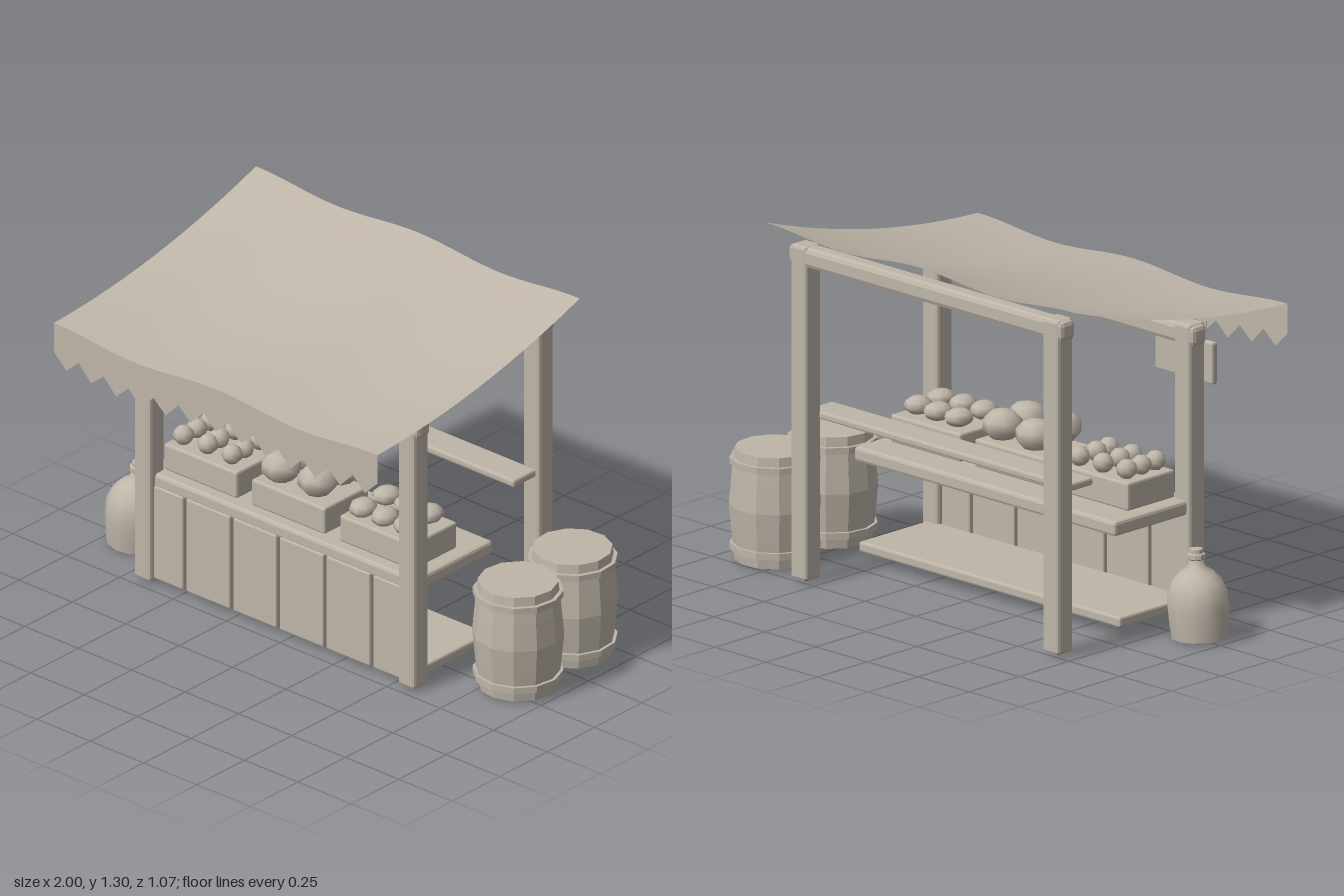
import * as THREE from 'three';
import { RoundedBoxGeometry } from 'three/addons/geometries/RoundedBoxGeometry.js';

export function createModel() {
  const root = new THREE.Group();
  root.name = 'marketStall';
  const clay = new THREE.MeshStandardMaterial({ color: 0xbfb6a9, side: THREE.DoubleSide });
  clay.name = 'warmGrey';
  const dark = new THREE.MeshStandardMaterial({ color: 0x1c1b1a });
  dark.name = 'nearBlack';
  // box sides in order +x -x +y -y +z -z: only the underside is dark
  const darkUnder = [clay, clay, clay, dark, clay, clay];

  const add = (name, geo, x = 0, y = 0, z = 0, parent = root, material = clay) => {
    const m = new THREE.Mesh(geo, material);
    m.name = name;
    m.position.set(x, y, z);
    parent.add(m);
    return m;
  };
  const flat = (geo) => {
    const g = geo.index ? geo.toNonIndexed() : geo;
    g.computeVertexNormals();
    return g;
  };
  // chamfered box given by its min and max on each axis
  const box = (name, x0, x1, y0, y1, z0, z1, bevel = 0.008, material = clay, parent = root) =>
    add(name, flat(new RoundedBoxGeometry(x1 - x0, y1 - y0, z1 - z0, 1, bevel)),
      (x0 + x1) / 2, (y0 + y1) / 2, (z0 + z1) / 2, parent, material);

  // frame: four posts and two cross beams
  for (const [label, z, top, beamLow] of [['front', 0.187, 1.08, 1.0], ['back', -0.472, 1.243, 1.165]]) {
    for (const x of [-0.667, 0.568])
      box(label + 'Post', x - 0.039, x + 0.039, 0.015, top, z - 0.039, z + 0.039, 0.012, darkUnder);
    box(label + 'Beam', -0.72, 0.62, beamLow, beamLow + 0.075, z - 0.037, z + 0.037, 0.018);
  }

  // counter, shelves and front planks
  box('counterTop', -0.69, 0.59, 0.38, 0.435, -0.21, 0.2, 0.012);
  box('lowerShelf', -0.69, 0.59, 0.042, 0.08, -0.185, 0.17, 0.008, darkUnder);
  box('backShelf', -0.69, 0.59, 0.597, 0.626, -0.44, -0.318);
  for (let i = 0; i < 6; i++) {
    const x = -0.05 + (i - 2.5) * 0.2186;
    box('frontPlank', x - 0.102, x + 0.102, 0.025, 0.39, 0.17, 0.205, 0.006, darkUnder);
  }

  // cloth canopy: slope with a sag, and a ripple across the width
  const X0 = -0.807, X1 = 0.708, ZF = 0.533;
  const ripple = (x) => 0.013 * Math.cos(((x - X0) / (X1 - X0)) * Math.PI * 4);
  const roofY = (x, z) => 1.146 - 0.192 * z + 0.146 * z * z + ripple(x);
  const cloth = new THREE.PlaneGeometry(X1 - X0, 2 * ZF, 32, 12);
  cloth.rotateX(-Math.PI / 2);
  cloth.translate((X0 + X1) / 2, 0, 0);
  const cp = cloth.attributes.position;
  for (let i = 0; i < cp.count; i++) cp.setY(i, roofY(cp.getX(i), cp.getZ(i)));
  cloth.computeVertexNormals();
  add('canopy', cloth);

  // zigzag valance hanging from the front edge
  const teeth = 13, edge = new THREE.Shape();
  for (let i = 0; i <= 32; i++) {
    const x = X0 + ((X1 - X0) * i) / 32;
    if (i) edge.lineTo(x, roofY(x, ZF)); else edge.moveTo(x, roofY(x, ZF));
  }
  for (let i = teeth * 2; i >= 0; i--) {
    const x = X0 + ((X1 - X0) * i) / (teeth * 2);
    edge.lineTo(x, (i % 2 ? 0.918 : 0.973) + ripple(x));
  }
  add('valance', new THREE.ShapeGeometry(edge), 0, 0, ZF);

  // hanging sign with a plain raised plate
  const sign = new THREE.Group();
  sign.name = 'hangingSign';
  root.add(sign);
  box('signBoard', -0.705, -0.421, 0.836, 0.99, 0.264, 0.289, 0.007, clay, sign);
  add('signPlate', new THREE.BoxGeometry(0.14, 0.06, 0.009), -0.565, 0.915, 0.2935, sign);
  for (const x of [-0.66, -0.47])
    add('signCord', new THREE.CylinderGeometry(0.004, 0.004, 0.08, 6), x, 1.02, 0.277, sign);

  // crates with produce: columns, rows, then produce radii
  const crates = [
    ['smallFruit', -0.46, [-0.58, -0.47, -0.355], [0.105, 0.035, -0.04], 0.038, 0.036, 0.038, 0.57],
    ['cabbage', -0.05, [-0.132, 0.034], [0.09, -0.032], 0.075, 0.058, 0.075, 0.598],
    ['rootVegetable', 0.362, [0.258, 0.36, 0.462], [0.098, -0.018], 0.049, 0.033, 0.056, 0.572],
  ];
  crates.forEach(([name, cx, xs, zs, rx, ry, rz, y], c) => {
    box('crate', cx - 0.171, cx + 0.171, 0.434, 0.537, -0.084, 0.152);
    xs.forEach((x, i) => zs.forEach((z, j) => {
      const wob = Math.sin(i * 5.1 + j * 3.3 + c);
      const f = add(name, new THREE.SphereGeometry(1, 8, c === 1 ? 5 : 6), x, y, z + 0.005 * wob);
      f.scale.set(rx, ry, rz);
      f.rotation.y = 0.25 * wob;
    }));
  });

  const lathe = (pts, sides) => new THREE.LatheGeometry(pts.map(([r, y]) => new THREE.Vector2(r, y)), sides);
  // dark disc facing down, with its corners lined up with a lathe of as many sides
  const base = (name, r, y, parent) =>
    add(name, new THREE.CircleGeometry(r, 12).rotateX(Math.PI / 2), 0, y, 0, parent, dark);

  // faceted barrels with flat lids and two hoops each
  for (const [x, z, turn] of [[0.838, -0.062, 0.1], [0.814, -0.375, 0.35]]) {
    const barrel = new THREE.Group();
    barrel.name = 'barrel';
    barrel.position.set(x, 0, z);
    barrel.rotation.y = turn;
    root.add(barrel);
    add('barrelBody', flat(lathe([[0.142, 0.014], [0.153, 0.12], [0.162, 0.218],
      [0.153, 0.32], [0.142, 0.422], [0, 0.422]], 12)), 0, 0, 0, barrel);
    base('barrelBase', 0.142, 0.014, barrel);
    for (const y of [0.064, 0.376])
      add('barrelHoop', flat(lathe([[0.138, -0.012], [0.16, -0.012], [0.16, 0.012], [0.138, 0.012]], 12)), 0, y, 0, barrel);
  }

  // leaning jug with a stopper
  const jug = new THREE.Group();
  jug.name = 'jug';
  jug.position.set(-0.887, 0.012, 0.014);
  jug.rotation.z = -0.06;
  jug.scale.z = 0.93;
  root.add(jug);
  add('jugBody', lathe([[0.107, 0], [0.112, 0.05], [0.116, 0.11], [0.112, 0.16], [0.094, 0.202],
    [0.062, 0.236], [0.034, 0.254], [0.026, 0.282]], 12), 0, 0, 0, jug);
  base('jugBase', 0.107, 0, jug);
  add('jugStopper', flat(lathe([[0.022, 0.276], [0.034, 0.284], [0.034, 0.3], [0.026, 0.303],
    [0.026, 0.318], [0, 0.32]], 10)), 0, 0, 0, jug);

  return root;
}
